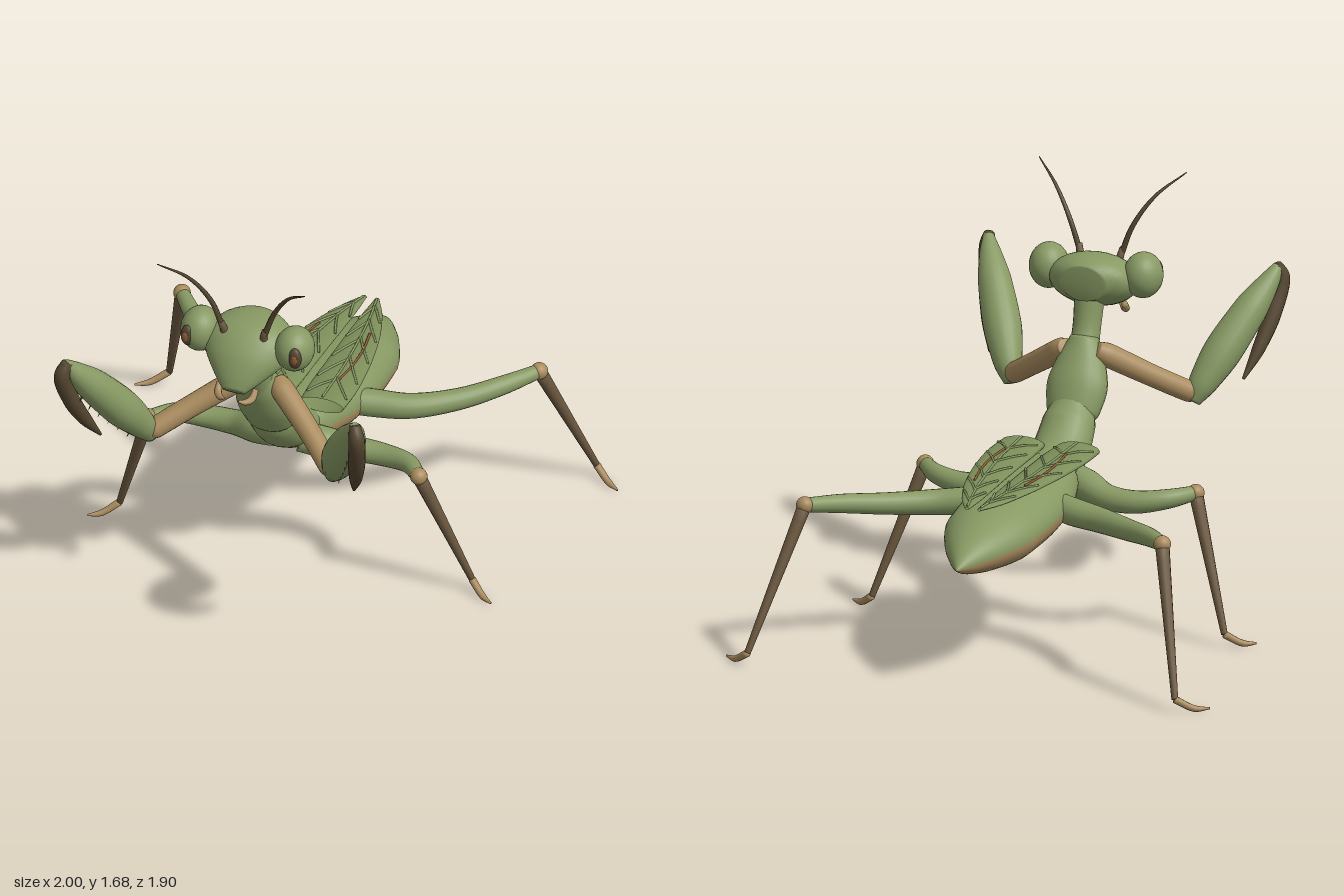
import * as THREE from 'three';

const mat = (name, color, side = THREE.FrontSide) => {
  const m = new THREE.MeshStandardMaterial({ color, side });
  m.name = name;
  return m;
};

// Sweeps an ellipse through rows of [x, y, z, halfWidth, halfHeight].
// Triangles of the lower half go to a second material group.
function loft(rows, { seg = 20, steps = 28, up = [0, 1, 0], caps = true } = {}) {
  const path = new THREE.CatmullRomCurve3(rows.map(r => new THREE.Vector3(r[0], r[1], r[2])));
  const size = new THREE.CatmullRomCurve3(rows.map(r => new THREE.Vector3(r[3], r[4] ?? r[3], 0)));
  const ref = new THREE.Vector3(...up), pos = [], top = [], low = [];
  for (let i = 0; i <= steps; i++) {
    const t = i / steps, p = path.getPoint(t), r = size.getPoint(t), T = path.getTangent(t);
    const S = ref.clone().cross(T).normalize(), N = T.clone().cross(S);
    for (let j = 0; j < seg; j++) {
      const a = (j / seg) * Math.PI * 2;
      const q = p.clone().addScaledVector(S, Math.cos(a) * r.x).addScaledVector(N, Math.sin(a) * r.y);
      pos.push(q.x, q.y, q.z);
    }
  }
  const end = (steps + 1) * seg, first = rows[0], last = rows[rows.length - 1];
  pos.push(...first.slice(0, 3), ...last.slice(0, 3));
  for (let j = 0; j < seg; j++) {
    const k = (j + 1) % seg, list = j < seg / 2 ? top : low;
    for (let i = 0; i < steps; i++) {
      const a = i * seg + j, b = i * seg + k;
      list.push(a, b, a + seg, b, b + seg, a + seg);
    }
    if (caps) list.push(end, k, j, end + 1, steps * seg + j, steps * seg + k);
  }
  const g = new THREE.BufferGeometry();
  g.setAttribute('position', new THREE.Float32BufferAttribute(pos, 3));
  g.setIndex([...top, ...low]);
  g.addGroup(0, top.length, 0);
  g.addGroup(top.length, low.length, 1);
  g.computeVertexNormals();
  return g;
}

export function createModel() {
  const model = new THREE.Group();
  const green = mat('leaf green', 0x879963);
  const wingGreen = mat('wing green', 0x7d8f5a, THREE.DoubleSide);
  const tan = mat('tan', 0xa98b5e);
  const brown = mat('leg brown', 0x6b583f);
  const dark = mat('dark brown', 0x54452f);
  const rust = mat('rust', 0x8c5a34);

  const add = (name, geometry, material, parent = model) => {
    const m = new THREE.Mesh(geometry, material);
    m.name = name;
    parent.add(m);
    return m;
  };
  const tube = (name, rows, m, parent, opt) =>
    add(name, loft(rows, opt), [m, m], parent);
  const ball = (name, x, y, z, r, m, parent, scale = [1, 1, 1]) => {
    const s = add(name, new THREE.SphereGeometry(r, 24, 16), m, parent);
    s.position.set(x, y, z);
    s.scale.set(...scale);
    return s;
  };

  // Abdomen, green above and tan below
  add('abdomen', loft([
    [0, 0.615, 0.1, 0.07, 0.07], [0, 0.605, 0, 0.13, 0.105], [0, 0.585, -0.18, 0.18, 0.12],
    [0, 0.565, -0.38, 0.198, 0.125], [0, 0.54, -0.6, 0.185, 0.118],
    [0, 0.517, -0.77, 0.12, 0.085], [0, 0.5, -0.88, 0.055, 0.045], [0, 0.49, -0.95, 0.004, 0.004],
  ], { seg: 32, steps: 40 }), [green, tan]);

  // Thorax and neck
  tube('rearThorax', [
    [0, 0.86, 0.28, 0.07, 0.05], [0, 0.77, 0.23, 0.105, 0.09], [0, 0.68, 0.14, 0.112, 0.095],
    [0, 0.63, 0.04, 0.108, 0.09], [0, 0.615, -0.06, 0.1, 0.08],
  ], green);
  tube('frontThorax', [
    [0, 1.07, 0.395, 0.055, 0.05], [0, 0.99, 0.365, 0.095, 0.07], [0, 0.89, 0.315, 0.122, 0.082],
    [0, 0.8, 0.27, 0.105, 0.075], [0, 0.75, 0.245, 0.06, 0.04],
  ], green);
  tube('neck', [[0, 1, 0.375, 0.06], [0, 1.1, 0.415, 0.055], [0, 1.24, 0.45, 0.06]], green);

  // Head
  tube('head', [
    [0, 1.285, 0.37, 0.09, 0.07], [0, 1.29, 0.42, 0.155, 0.092], [0, 1.275, 0.5, 0.185, 0.105],
    [0, 1.235, 0.57, 0.15, 0.09], [0, 1.185, 0.63, 0.09, 0.055], [0, 1.15, 0.665, 0.045, 0.025],
  ], green, model, { seg: 28 });

  // Forewing: a flattened open shell
  const wingRows = s => [
    [s * 0.115, 0.725, 0.035, 0.09, 0.03], [s * 0.112, 0.722, -0.1, 0.095, 0.025],
    [s * 0.1, 0.715, -0.3, 0.085, 0.022], [s * 0.078, 0.705, -0.5, 0.066, 0.016],
    [s * 0.05, 0.695, -0.67, 0.038, 0.012], [s * 0.025, 0.69, -0.78, 0.008, 0.005],
  ];
  // Point on the wing's upper surface: u along, v across from -1 to 1
  const wingPoint = (rows, s, u, v) => {
    const f = u * (rows.length - 1), i = Math.min(Math.floor(f), rows.length - 2);
    const r = rows[i].map((a, k) => a + (rows[i + 1][k] - a) * (f - i));
    return [r[0] + s * v * r[3], r[1] + r[4] * Math.sqrt(Math.max(0, 1 - v * v)) + 0.002, r[2]];
  };

  for (const s of [1, -1]) {
    const side = new THREE.Group();
    side.name = s > 0 ? 'leftSide' : 'rightSide';
    model.add(side);

    // Eyes, mouthparts and antennae
    ball('eye', s * 0.195, 1.305, 0.515, 0.088, green, side, [0.88, 1.03, 0.98]);
    ball('pupil', s * 0.222, 1.308, 0.585, 0.045, dark, side, [0.6, 1, 0.45]);
    ball('iris', s * 0.226, 1.308, 0.602, 0.022, rust, side, [0.6, 1, 0.3]);
    tube('mandible', [
      [s * 0.075, 1.15, 0.62, 0.012], [s * 0.07, 1.122, 0.65, 0.015],
      [s * 0.05, 1.118, 0.675, 0.012], [s * 0.03, 1.128, 0.69, 0.004],
    ], tan, side, { seg: 10, steps: 12 });
    tube('antennaBase', [[s * 0.078, 1.33, 0.55, 0.018], [s * 0.09, 1.39, 0.565, 0.012]],
      brown, side, { seg: 10, steps: 3, up: [0, 0, 1] });
    tube('antenna', [
      [s * 0.085, 1.36, 0.56, 0.012], [s * 0.13, 1.48, 0.57, 0.01],
      [s * 0.205, 1.595, 0.615, 0.007], [s * 0.305, 1.68, 0.69, 0.002],
    ], dark, side, { seg: 8, up: [0, 0, 1] });

    // Grasping arm
    tube('armBase', [
      [s * 0.06, 1.03, 0.36, 0.035], [s * 0.1, 1.005, 0.39, 0.047], [s * 0.25, 0.91, 0.49, 0.043],
      [s * 0.36, 0.84, 0.575, 0.042], [s * 0.385, 0.825, 0.595, 0.03],
    ], tan, side);
    tube('armFemur', [
      [s * 0.375, 0.8, 0.575, 0.03], [s * 0.4, 0.86, 0.605, 0.055], [s * 0.46, 0.99, 0.695, 0.075],
      [s * 0.53, 1.13, 0.795, 0.066], [s * 0.58, 1.23, 0.87, 0.04], [s * 0.6, 1.28, 0.905, 0.02],
    ], green, side, { up: [0, 0, 1] });
    tube('armTibia', [
      [s * 0.595, 1.285, 0.9, 0.022], [s * 0.61, 1.23, 0.918, 0.032], [s * 0.592, 1.1, 0.872, 0.034],
      [s * 0.56, 0.97, 0.8, 0.026], [s * 0.525, 0.865, 0.73, 0.006],
    ], dark, side, { seg: 14, up: [0, 0, 1] });
    for (let i = 0; i < 6; i++) {
      const f = i / 5, spine = add('armSpine', new THREE.ConeGeometry(0.008, 0.05, 6), dark, side);
      spine.position.set(s * (0.435 + 0.12 * f), 0.85 + 0.25 * f, 0.655 + 0.2 * f);
      spine.quaternion.setFromUnitVectors(new THREE.Vector3(0, 1, 0),
        new THREE.Vector3(s * 0.2, -0.6, 0.75).normalize());
    }

    // Walking legs: femur path, knee, ankle, toe
    const legs = [
      ['middle', [[0.05, 0.6, 0.09, 0.06], [0.13, 0.58, 0.065, 0.062], [0.24, 0.55, 0.022, 0.05],
        [0.36, 0.545, 0.015, 0.045], [0.48, 0.56, 0.055, 0.038], [0.56, 0.57, 0.14, 0.028]],
      [0.73, 0.055, 0.01], [0.79, 0.015, 0.05], [0.835, 0.012, 0.08]],
      ['rear', [[0.1, 0.585, -0.23, 0.05], [0.2, 0.57, -0.27, 0.055], [0.34, 0.56, -0.315, 0.05],
        [0.5, 0.565, -0.42, 0.043], [0.64, 0.585, -0.55, 0.037], [0.74, 0.6, -0.67, 0.028]],
      [0.885, 0.055, -0.905], [0.95, 0.015, -0.865], [1, 0.012, -0.83]],
    ];
    for (const [name, femur, ankle, foot, toe] of legs) {
      const flip = (p, r) => [s * p[0], p[1], p[2], r];
      const knee = femur[femur.length - 1];
      tube(name + 'Femur', femur.map(p => flip(p, p[3])), green, side);
      ball(name + 'Knee', s * knee[0], knee[1], knee[2], 0.034, tan, side);
      tube(name + 'Tibia', [flip(knee, 0.028), flip(ankle, 0.013)], brown, side,
        { seg: 12, steps: 4, up: [0, 0, 1] });
      tube(name + 'Foot', [flip(ankle, 0.015), flip(foot, 0.013), flip(toe, 0.004)], tan, side,
        { seg: 10, steps: 12 });
    }

    // Wing with veins and a rust stripe
    const rows = wingRows(s);
    tube('wing', rows, wingGreen, side, { seg: 24, caps: false });
    const line = (name, pts, r, m) =>
      tube(name, pts.map(([u, v]) => [...wingPoint(rows, s, u, v), r]), m, side, { seg: 6, steps: 12 });
    line('wingStripe', [[0.22, 0.15], [0.35, 0.35], [0.48, 0.45], [0.6, 0.4]], 0.005, rust);
    for (let i = 0; i < 5; i++) {
      const u = 0.08 + i * 0.16;
      line('outerVein', [[u + 0.16, 0], [u + 0.08, 0.45], [u, 0.9]], 0.005, green);
      line('innerVein', [[u, -0.85], [u + 0.07, -0.45], [u + 0.14, 0]], 0.005, green);
    }
    line('midVein', [[0.02, 0], [0.35, 0], [0.7, 0], [0.98, 0]], 0.005, green);
  }
  return model;
}
